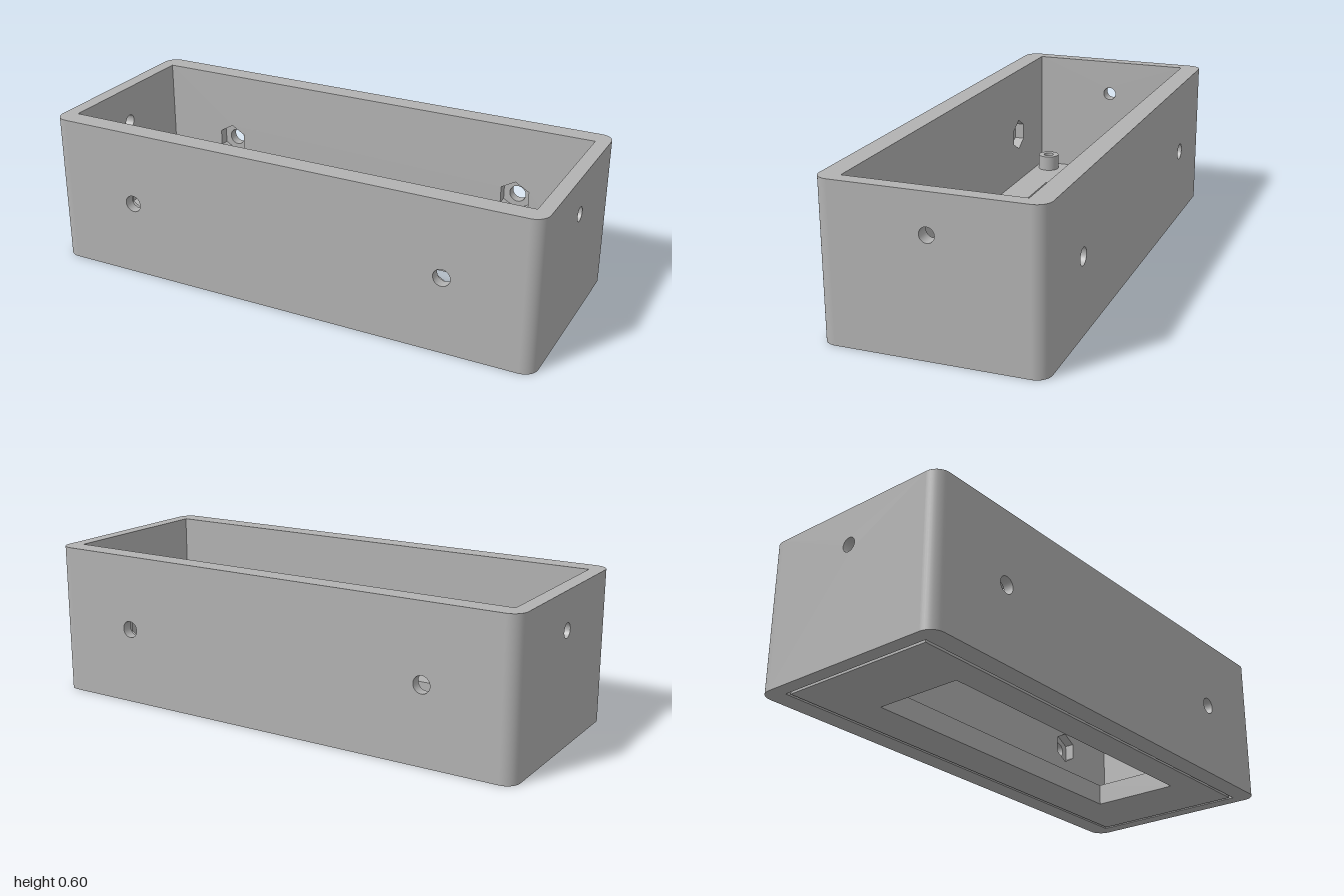
import * as THREE from 'three';

const H = 0.595, X = 1, Z = 0.41, R = 0.055; // outer height, half sizes, corner radius
const IX = 0.945, IZ = 0.33, FLOOR = 0.085;  // inner half sizes, floor thickness

const rectPoints = (x0, x1, y0, y1) =>
  [[x0, y0], [x1, y0], [x1, y1], [x0, y1]].map(([x, y]) => new THREE.Vector2(x, y));

const ngon = (cx, cy, r, n) => Array.from({ length: n }, (_, i) => {
  const a = Math.PI / 2 + (i / n) * Math.PI * 2;
  return new THREE.Vector2(cx + r * Math.cos(a), cy + r * Math.sin(a));
});

function roundedPoints(x, y, r) {
  const s = new THREE.Shape();
  s.absarc(x - r, y - r, r, 0, Math.PI / 2);
  s.absarc(r - x, y - r, r, Math.PI / 2, Math.PI);
  s.absarc(r - x, r - y, r, Math.PI, Math.PI * 1.5);
  s.absarc(x - r, r - y, r, Math.PI * 1.5, Math.PI * 2);
  return s.getPoints(10);
}

// Flat face with holes, facing +z
function sheet(outline, holes = []) {
  const s = new THREE.Shape(outline);
  s.holes = holes.map((h) => new THREE.Path(h));
  return new THREE.ShapeGeometry(s);
}

// Inward facing wall around a closed outline, from z0 to z1
function band(points, z0, z1, smooth = false) {
  const pos = [];
  points.forEach((a, i) => {
    const b = points[(i + 1) % points.length];
    pos.push(a.x, a.y, z0, b.x, b.y, z1, b.x, b.y, z0, a.x, a.y, z0, a.x, a.y, z1, b.x, b.y, z1);
  });
  const g = new THREE.BufferGeometry();
  g.setAttribute('position', new THREE.Float32BufferAttribute(pos, 3));
  g.computeVertexNormals();
  if (smooth) {
    const c = points.reduce((m, p) => m.add(p), new THREE.Vector2()).divideScalar(points.length);
    const p = g.attributes.position, n = g.attributes.normal;
    for (let i = 0; i < p.count; i++) {
      const v = new THREE.Vector2(c.x - p.getX(i), c.y - p.getY(i)).normalize();
      n.setXYZ(i, v.x, v.y, 0);
    }
  }
  return g;
}

export function createModel() {
  const model = new THREE.Group();
  model.name = 'enclosure';
  const grey = new THREE.MeshStandardMaterial({ color: 0xb2b2b2, side: THREE.DoubleSide });
  grey.name = 'grey';
  const add = (parent, name, geometry) => {
    const m = new THREE.Mesh(geometry, grey);
    m.name = name;
    parent.add(m);
    return m;
  };
  const up = (g, y) => g.rotateX(-Math.PI / 2).translate(0, y, 0);
  const down = (g, y = 0) => g.rotateX(Math.PI / 2).translate(0, y, 0);

  // Walls: outer and inner skins with bolt holes and optional hexagonal nut pockets
  function wall(name, turn, d, half, t, innerHalf, holes, r, pocket) {
    const g = new THREE.Group();
    g.name = name;
    g.rotation.y = turn;
    model.add(g);
    const zi = d - t;
    const round = holes.map(([x, y]) => ngon(x, y, r, 32));
    const hex = holes.map(([x, y]) => ngon(x, y, 0.066, 6));
    add(g, 'outerFace', sheet(rectPoints(-half, half, 0, H), round).translate(0, 0, d));
    add(g, 'innerFace', sheet(rectPoints(-innerHalf, innerHalf, FLOOR, H), pocket ? hex : round)
      .rotateY(Math.PI).translate(0, 0, zi));
    round.forEach((pts, i) => {
      add(g, 'boltHole', band(pts, zi + pocket, d, true));
      if (!pocket) return;
      add(g, 'nutPocketSides', band(hex[i], zi, zi + pocket));
      const seat = sheet(ngon(0, 0, 0.066, 6), [ngon(0, 0, r, 32)]).rotateY(Math.PI);
      add(g, 'nutPocketSeat', seat.translate(holes[i][0], holes[i][1], zi + pocket));
    });
  }
  const bolts = [[-0.647, 0.3], [0.647, 0.3]];
  for (const [name, turn] of [['frontWall', 0], ['backWall', Math.PI]])
    wall(name, turn, Z, X - R, Z - IZ, IX, bolts, 0.033, 0.04);
  for (const [name, turn] of [['leftWall', Math.PI / 2], ['rightWall', -Math.PI / 2]])
    wall(name, turn, X, Z - R, X - IX, IZ, [[0, 0.447]], 0.028, 0);

  // Rounded vertical corners
  [[1, 1], [1, -1], [-1, -1], [-1, 1]].forEach(([sx, sz], i) => {
    const c = new THREE.CylinderGeometry(R, R, H, 10, 1, true, i * Math.PI / 2, Math.PI / 2);
    add(model, 'roundedCorner', c.translate(sx * (X - R), H / 2, sz * (Z - R)));
  });

  // Top rim
  const outer = roundedPoints(X, Z, R);
  add(model, 'topRim', up(sheet(outer, [rectPoints(-IX, IX, -IZ, IZ)]), H));

  // Underside with a narrow groove around the floor panel
  const w = 0.012, depth = 0.02;
  const grooveOut = rectPoints(-IX, IX, -IZ, IZ);
  const grooveIn = rectPoints(w - IX, IX - w, w - IZ, IZ - w);
  const opening = rectPoints(-0.66, 0.66, -0.155, 0.203);
  add(model, 'bottomRim', down(sheet(outer, [grooveOut])));
  add(model, 'bottomPanel', down(sheet(grooveIn, [opening])));
  add(model, 'grooveOuterSide', down(band(grooveOut, -depth, 0)));
  add(model, 'grooveInnerSide', down(band(grooveIn.slice().reverse(), -depth, 0)));
  add(model, 'grooveBed', down(sheet(grooveOut, [grooveIn]), depth));

  // Floor with the rectangular opening
  add(model, 'openingSides', down(band(opening, -FLOOR, 0)));
  add(model, 'floor', up(sheet(rectPoints(-IX, IX, -IZ, IZ),
    [rectPoints(-0.66, 0.66, -0.203, 0.155)]), FLOOR));

  // Screw bosses with blind pilot holes in the four floor corners
  const top = 0.15;
  for (const x of [-0.87, 0.87]) for (const z of [-0.268, 0.268]) {
    const boss = new THREE.Group();
    boss.name = 'screwBoss';
    boss.position.set(x, 0, z);
    model.add(boss);
    const hole = ngon(0, 0, 0.022, 24);
    const side = new THREE.CylinderGeometry(0.045, 0.045, top - FLOOR, 32, 1, true);
    add(boss, 'bossSide', side.translate(0, (top + FLOOR) / 2, 0));
    add(boss, 'bossTop', up(sheet(ngon(0, 0, 0.045, 32), [hole]), top));
    add(boss, 'pilotHole', up(band(hole, FLOOR - top, 0, true), top));
  }
  return model;
}
